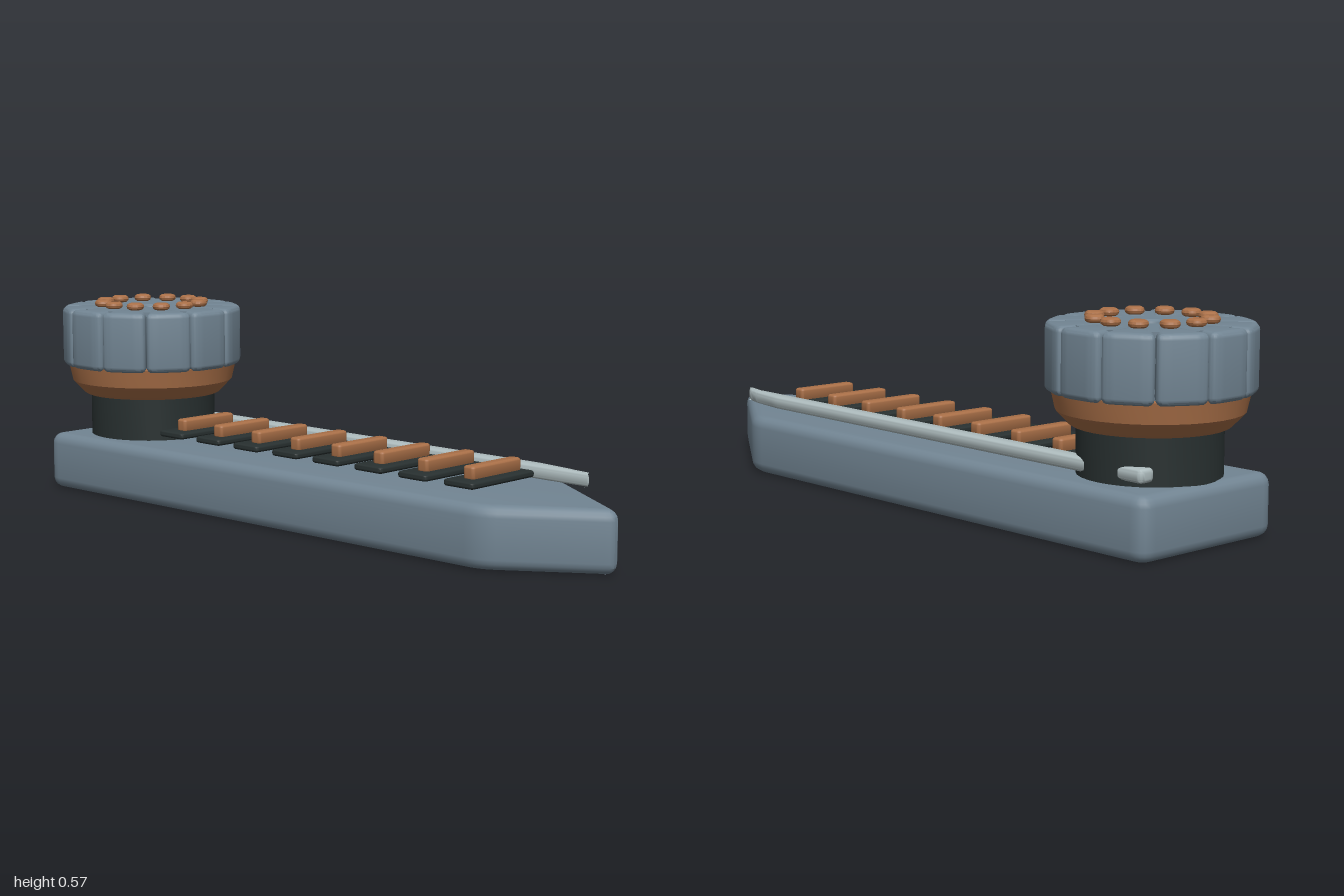
import * as THREE from 'three';
import { toCreasedNormals } from 'three/addons/utils/BufferGeometryUtils.js';

const mat = (name, color) => {
  const m = new THREE.MeshStandardMaterial({ color });
  m.name = name;
  return m;
};

// Horizontal slab from an (x, z) outline, with cut corners and rounded rims
function slab(points, y0, y1, bevel, corner) {
  const p = points.map(([x, z]) => new THREE.Vector2(x, -z));
  if (THREE.ShapeUtils.area(p) < 0) p.reverse();
  const shape = new THREE.Shape();
  p.forEach((c, i) => {
    const prev = p[(i + p.length - 1) % p.length];
    const next = p[(i + 1) % p.length];
    const toward = (q) => c.clone().add(
      q.clone().sub(c).setLength(Math.min(corner, q.distanceTo(c) * 0.45)));
    const a = toward(prev), b = toward(next);
    if (i === 0) shape.moveTo(a.x, a.y); else shape.lineTo(a.x, a.y);
    shape.quadraticCurveTo(c.x, c.y, b.x, b.y);
  });
  shape.closePath();
  const geo = new THREE.ExtrudeGeometry(shape, {
    depth: y1 - y0 - 2 * bevel, curveSegments: 5, bevelEnabled: true,
    bevelThickness: bevel, bevelSize: bevel, bevelOffset: -bevel, bevelSegments: 4,
  });
  geo.rotateX(-Math.PI / 2);
  geo.translate(0, y0 + bevel, 0);
  return toCreasedNormals(geo, 0.6);
}

const rect = (x, z0, z1, w) => [[x - w / 2, z0], [x + w / 2, z0], [x + w / 2, z1], [x - w / 2, z1]];

const lathe = (pts, sides) => toCreasedNormals(
  new THREE.LatheGeometry(pts.map(([r, y]) => new THREE.Vector2(r, y)), sides), 0.5);

export function createModel() {
  const steel = mat('blue grey steel', 0x728593);
  const copper = mat('copper', 0xaa7048);
  const dark = mat('dark iron', 0x283030);
  const silver = mat('pale silver', 0xaebcbe);

  const model = new THREE.Group();
  model.name = 'model';
  const add = (parent, name, geo, material) => {
    const m = new THREE.Mesh(geo, material);
    m.name = name;
    parent.add(m);
    return m;
  };

  // Pointed body
  add(model, 'body', slab(
    [[-0.94, -0.242], [0.61, -0.266], [1.012, 0], [0.72, 0.203], [-0.94, 0.245]],
    0, 0.166, 0.03, 0.045), steel);

  // Silver edge strip along the back
  add(model, 'edgeStrip', slab(
    [[-0.87, -0.177], [0.62, -0.177], [0.74, -0.16], [0.79, -0.146], [0.818, -0.127], [-0.87, -0.127]],
    0.179, 0.216, 0.011, 0.015), silver);

  // Row of dark plates with copper bars
  const plateGeo = slab(rect(0, -0.126, 0.132, 0.1), 0.185, 0.203, 0.007, 0.012);
  const barGeo = slab(rect(0, -0.108, 0.09, 0.036), 0.198, 0.236, 0.007, 0.01);
  for (let i = 0; i < 8; i++) {
    const slot = new THREE.Group();
    slot.name = 'slot' + (i + 1);
    slot.position.x = -0.507 + i * 0.157;
    add(slot, 'plate', plateGeo, dark);
    add(slot, 'bar', barGeo, copper);
    model.add(slot);
  }

  // Knob standing on a dark neck
  const knob = new THREE.Group();
  knob.name = 'knob';
  knob.position.x = -0.734;
  model.add(knob);
  add(knob, 'neck', lathe([[0, 0.15], [0.187, 0.15], [0.187, 0.3], [0, 0.3]], 32), dark);
  add(knob, 'collar', lathe(
    [[0, 0.29], [0.2, 0.29], [0.207, 0.294], [0.241, 0.33], [0.253, 0.384], [0, 0.384]], 32), copper);
  add(knob, 'hub', lathe(
    [[0, 0.38], [0.215, 0.38], [0.215, 0.551], [0.046, 0.551], [0.038, 0.546],
      [0.034, 0.535], [0.034, 0.515], [0, 0.515]], 32), steel);
  const centre = add(knob, 'centreCap', new THREE.CircleGeometry(0.034, 24).rotateX(-Math.PI / 2), silver);
  centre.position.y = 0.52;

  // Twelve grip segments and twelve rivets around the knob
  const gripGeo = slab(
    [[0.1, -0.026], [0.257, -0.068], [0.266, -0.04], [0.266, 0.04], [0.257, 0.068], [0.1, 0.026]],
    0.377, 0.552, 0.016, 0.018);
  const rivetGeo = lathe(
    [[0, 0.552], [0.018, 0.552], [0.024, 0.556], [0.026, 0.562], [0.024, 0.568], [0.018, 0.572], [0, 0.572]], 16);
  rivetGeo.translate(0.148, 0, 0);
  for (let i = 0; i < 12; i++) {
    const a = (i * Math.PI) / 6;
    add(knob, 'grip' + (i + 1), gripGeo, steel).rotation.y = a;
    add(knob, 'rivet' + (i + 1), rivetGeo, copper).rotation.y = a;
  }
  return model;
}
